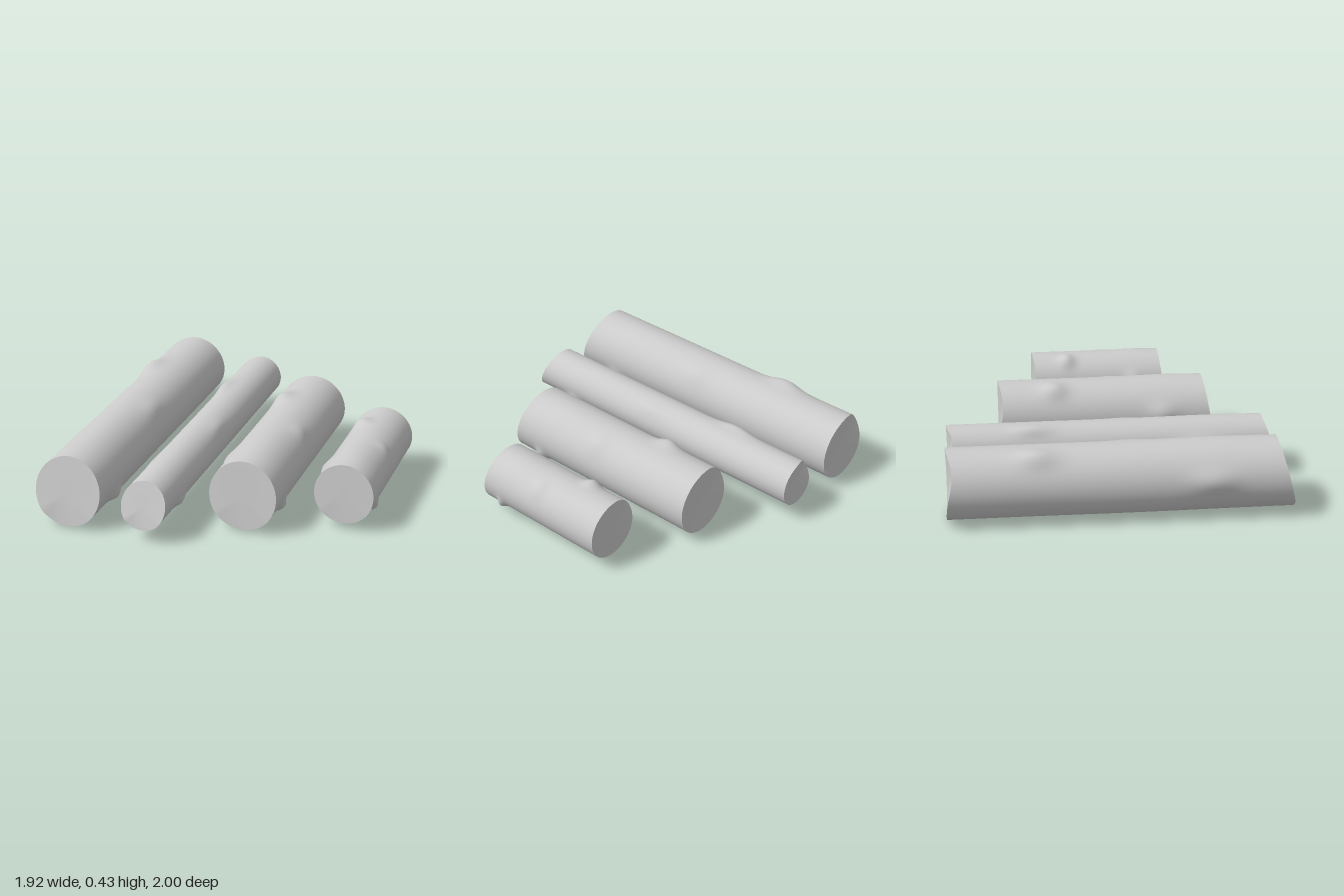
import * as THREE from 'three';
import { mergeVertices } from 'three/addons/utils/BufferGeometryUtils.js';

const DEG = Math.PI / 180;
const SIDES = 64;

// Knots on the bark: angle (degrees), position along the log, height, angular and lengthwise spread
const KNOTS = [
  { angle: 168, z: 0.52, height: 0.11, spread: 0.22, length: 0.09 },
  { angle: 118, z: -0.48, height: 0.16, spread: 0.2, length: 0.08 },
  { angle: -32, z: 0.7, height: 0.13, spread: 0.15, length: 0.035 },
  { angle: -72, z: -0.45, height: 0.08, spread: 0.2, length: 0.07 },
  { angle: 48, z: 0.05, height: 0.05, spread: 0.2, length: 0.07 },
  { angle: 80, z: 0.55, height: 0.03, spread: 0.4, length: 0.2 },
  { angle: 215, z: 0.1, height: 0.025, spread: 0.4, length: 0.3 },
];

const bell = (d, width) => Math.exp(-0.5 * (d / width) ** 2);
const angleGap = (a, b) => Math.atan2(Math.sin(a - b), Math.cos(a - b));

// Slanted saw cut at the front, small dip at the upper left of the back
const frontEnd = (a) => 1 - 0.055 * Math.max(0, Math.sin(a) + 0.65);
const backEnd = (a) => -1 + 0.04 * bell(angleGap(a, 145 * DEG), 0.5);

function barkRadius(a, z) {
  let r = 1;
  for (const k of KNOTS) {
    r += k.height * bell(angleGap(a, k.angle * DEG), k.spread) * bell(z - k.z, k.length);
  }
  return r;
}

// Reshapes a unit cylinder or disc lying along z into the log's form
function carve(geometry) {
  const p = geometry.attributes.position;
  for (let i = 0; i < p.count; i++) {
    const x = p.getX(i), y = p.getY(i), t = (p.getZ(i) + 1) / 2;
    if (Math.hypot(x, y) < 1e-4) {
      p.setXYZ(i, 0, 0, t > 0.5 ? 0.962 : -0.992);
      continue;
    }
    const a = Math.atan2(y, x);
    const z = THREE.MathUtils.lerp(backEnd(a), frontEnd(a), t);
    const r = barkRadius(a, z);
    p.setXYZ(i, r * Math.cos(a), r * Math.sin(a), z);
  }
  geometry.deleteAttribute('uv');
  geometry.deleteAttribute('normal');
  const welded = mergeVertices(geometry, 1e-4);
  welded.computeVertexNormals();
  return welded;
}

export function createModel() {
  const group = new THREE.Group();
  group.name = 'logs';
  const material = new THREE.MeshStandardMaterial({ color: 0xcccccc });

  const parts = {
    bark: carve(new THREE.CylinderGeometry(1, 1, 2, SIDES, 100, true).rotateX(Math.PI / 2)),
    frontCut: carve(new THREE.CircleGeometry(1, SIDES).translate(0, 0, 1)),
    backCut: carve(new THREE.CircleGeometry(1, SIDES).rotateY(Math.PI).translate(0, 0, -1)),
  };

  // The same log at four sizes
  const logs = [
    { name: 'longThickLog', x: -0.735, radius: 0.207, half: 1 },
    { name: 'longThinLog', x: -0.253, radius: 0.138, half: 1 },
    { name: 'mediumLog', x: 0.236, radius: 0.207, half: 0.675 },
    { name: 'shortLog', x: 0.778, radius: 0.18, half: 0.438 },
  ];
  for (const { name, x, radius, half } of logs) {
    const log = new THREE.Group();
    log.name = name;
    for (const [part, geometry] of Object.entries(parts)) {
      const mesh = new THREE.Mesh(geometry, material);
      mesh.name = part;
      log.add(mesh);
    }
    log.scale.set(radius, radius, half);
    log.position.set(x, 0.226, 0);
    group.add(log);
  }
  return group;
}
